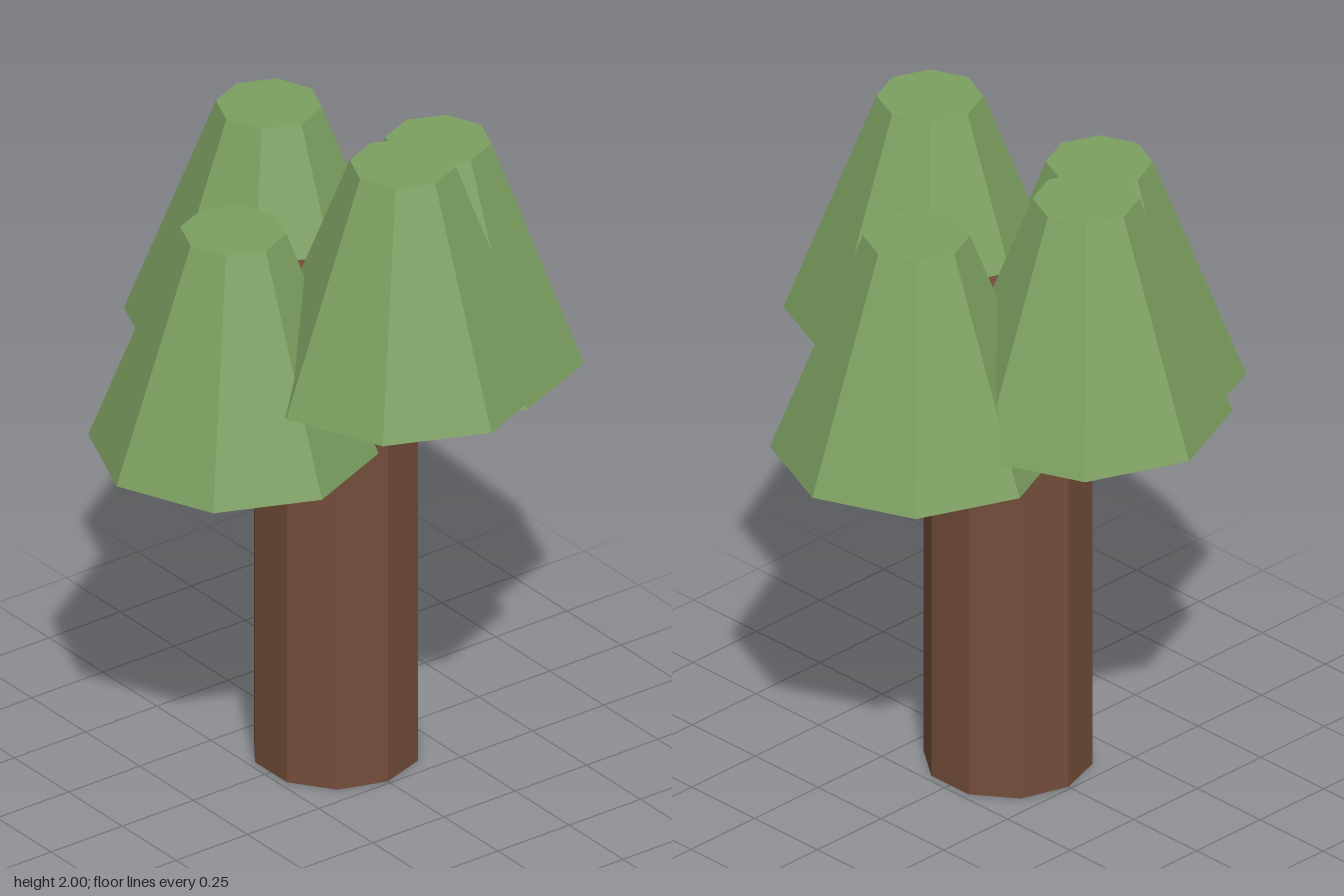
import * as THREE from 'three';

export function createModel() {
  const tree = new THREE.Group();
  tree.name = 'tree';

  const bark = new THREE.MeshStandardMaterial({ color: 0x734d3b, flatShading: true });
  bark.name = 'bark brown';
  const leaf = new THREE.MeshStandardMaterial({ color: 0x7da061, flatShading: true });
  leaf.name = 'leaf green';

  // Ten-sided trunk, reaching up between the foliage clumps
  const trunkHeight = 1.56;
  const trunk = new THREE.Mesh(new THREE.CylinderGeometry(0.24, 0.24, trunkHeight, 10), bark);
  trunk.name = 'trunk';
  trunk.position.y = trunkHeight / 2;
  tree.add(trunk);

  // Four eight-sided tapered clumps at staggered heights: name, x, base height, z
  const clumpHeight = 0.68;
  const clumpShape = new THREE.CylinderGeometry(0.15, 0.41, clumpHeight, 8);
  const clumps = [
    ['frontFoliage', 0, 1.32, 0.31],
    ['backFoliage', 0, 1.24, -0.31],
    ['leftFoliage', 0.36, 1.14, 0],
    ['rightFoliage', -0.36, 1.09, 0],
  ];
  for (const [name, x, base, z] of clumps) {
    const clump = new THREE.Mesh(clumpShape, leaf);
    clump.name = name;
    clump.position.set(x, base + clumpHeight / 2, z);
    tree.add(clump);
  }
  return tree;
}
